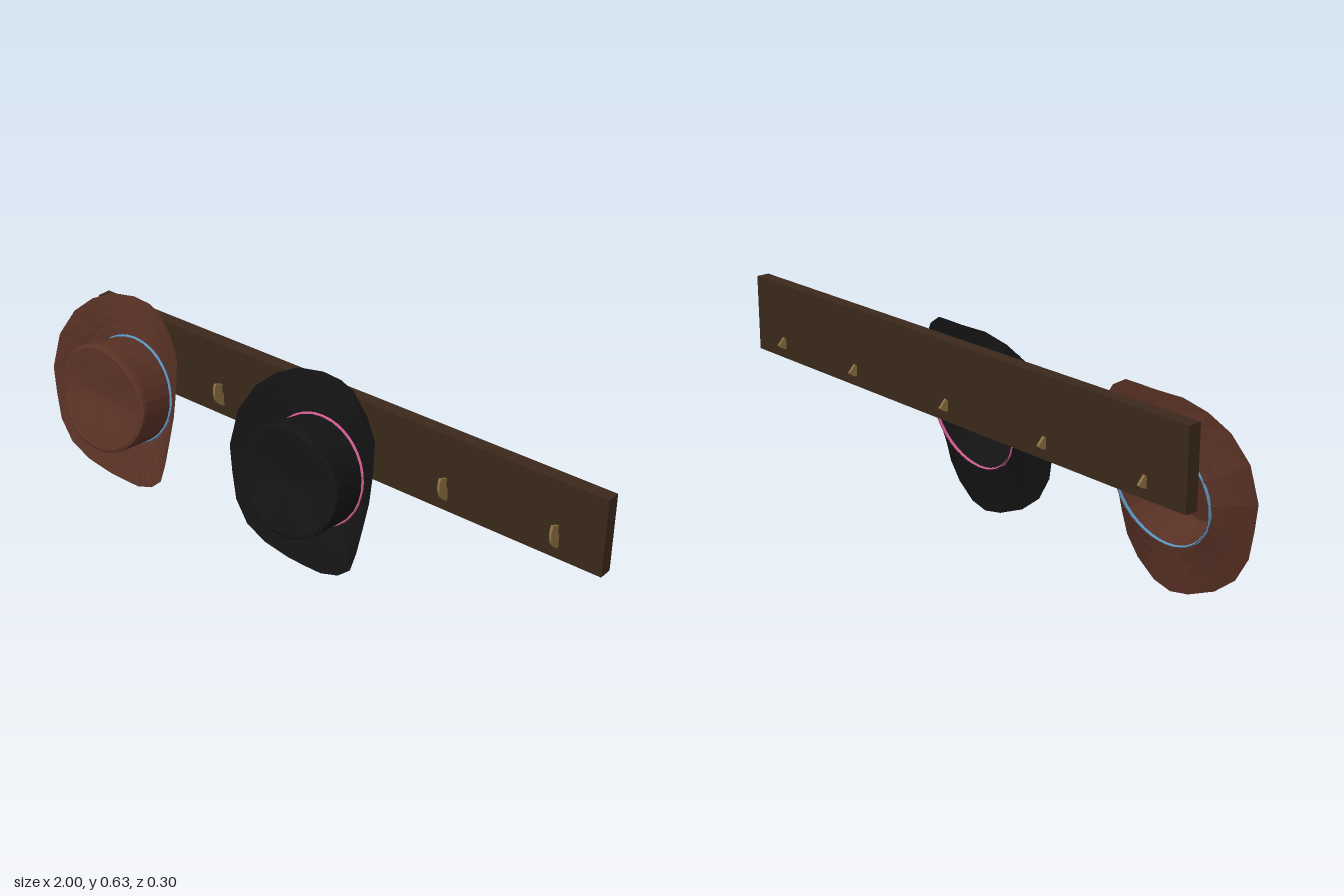
import * as THREE from 'three';

const material = (color) => new THREE.MeshStandardMaterial({ color, flatShading: true, side: THREE.DoubleSide });

function addMesh(parent, name, geometry, mat) {
  const mesh = new THREE.Mesh(geometry, mat);
  mesh.name = name;
  parent.add(mesh);
  return mesh;
}

// Skin a list of closed rings, each with the same number of Vector3 points
function skinRings(rings) {
  const n = rings[0].length, index = [];
  for (let r = 0; r < rings.length - 1; r++) {
    for (let i = 0; i < n; i++) {
      const a = r * n + i, b = r * n + (i + 1) % n;
      index.push(a, b, a + n, b, b + n, a + n);
    }
  }
  const geometry = new THREE.BufferGeometry().setFromPoints(rings.flat());
  geometry.setIndex(index);
  geometry.computeVertexNormals();
  return geometry;
}

const TILT = 0.175, HAT_Y = 0.326, BASE_R = 0.174;

// Brim outline seen from the front, counter-clockwise from the right: x, height
const OUTLINE = [
  [0.253, 0.345], [0.252, 0.44], [0.24, 0.53], [0.19, 0.578], [0.11, 0.622], [0.05, 0.63], [-0.02, 0.631],
  [-0.1, 0.625], [-0.165, 0.595], [-0.22, 0.545], [-0.262, 0.46], [-0.275, 0.345], [-0.26, 0.26], [-0.24, 0.17],
  [-0.2, 0.095], [-0.14, 0.045], [-0.06, 0.013], [0.0, 0.004], [0.07, 0.013], [0.15, 0.05], [0.205, 0.1],
  [0.225, 0.17], [0.24, 0.26],
];

// Brim: flat at the crown, sides curling forward towards the edge
function brimGeometry() {
  const rings = [1, 0.66, 0.33, 0].map((t) => OUTLINE.map(([x, y]) => {
    const edge = 0.08 * Math.pow(Math.abs(x) / 0.265, 1.5);
    const v = (y - HAT_Y - edge * Math.sin(TILT)) / Math.cos(TILT);
    const a = Math.atan2(v, x);
    return new THREE.Vector3(
      THREE.MathUtils.lerp(BASE_R * Math.cos(a), x, t),
      THREE.MathUtils.lerp(BASE_R * Math.sin(a), v, t),
      edge * Math.pow(t, 1.15));
  }));
  return skinRings(rings);
}

// Crown: hollow round wall with a saddle-shaped top, raised at both ends and pinched in the middle
function crownGeometry() {
  const sides = 28;
  const profile = [[BASE_R, 0], [0.177, 0.4], [0.18, 0.88], [0.178, 0.96], [0.168, 1], [0.11, 0.985], [0.05, 0.96], [0, 0.95]];
  const rings = profile.map(([radius, h]) => Array.from({ length: sides }, (_, i) => {
    const a = (i / sides) * Math.PI * 2, s = Math.sin(a), spread = radius / 0.18;
    const pinch = 0.011 * Math.exp(-Math.pow(Math.cos(a) / 0.28, 2));
    const top = 0.136 + spread * (0.027 * s * s + 0.006 * s - pinch);
    return new THREE.Vector3(radius * Math.cos(a), radius * s, h * top);
  }));
  return skinRings(rings);
}

function createHat(name, x, color, bandColor) {
  const hat = new THREE.Group();
  hat.name = name;
  const felt = material(color);
  addMesh(hat, 'brim', brimGeometry(), felt);
  addMesh(hat, 'crown', crownGeometry(), felt);
  const band = addMesh(hat, 'hatBand', new THREE.TorusGeometry(BASE_R + 0.001, 0.005, 6, 40), material(bandColor));
  band.position.z = 0.005;
  hat.position.set(x, HAT_Y, -0.028);
  hat.rotation.x = -TILT;
  return hat;
}

// Hook: flat arc of a ring, passing through the board
function hookGeometry() {
  const start = THREE.MathUtils.degToRad(-133), end = THREE.MathUtils.degToRad(24);
  const shape = new THREE.Shape();
  shape.absarc(0, 0, 0.069, start, end, false);
  shape.absarc(0, 0, 0.035, end, start, true);
  shape.closePath();
  const geometry = new THREE.ExtrudeGeometry(shape, { depth: 0.008, bevelEnabled: false, curveSegments: 10 });
  geometry.translate(0, 0, -0.004);
  geometry.rotateY(-Math.PI / 2);
  return geometry;
}

export function createModel() {
  const model = new THREE.Group();
  model.name = 'hatRack';

  // Wall board
  const board = addMesh(model, 'board', new THREE.BoxGeometry(1.905, 0.25, 0.044), material(0x3a281a));
  board.position.set(0.0475, 0.46, -0.102);

  // Row of hooks
  const brass = material(0x8c7140), hook = hookGeometry();
  for (const x of [-0.76, -0.375, 0.045, 0.48, 0.855]) {
    addMesh(model, 'hook', hook, brass).position.set(x, 0.434, -0.107);
  }

  // Hanging hats
  model.add(createHat('brownHat', -0.725, 0x5a3226, 0x5a94c0));
  model.add(createHat('blackHat', 0.045, 0x141414, 0xd05a90));
  return model;
}
